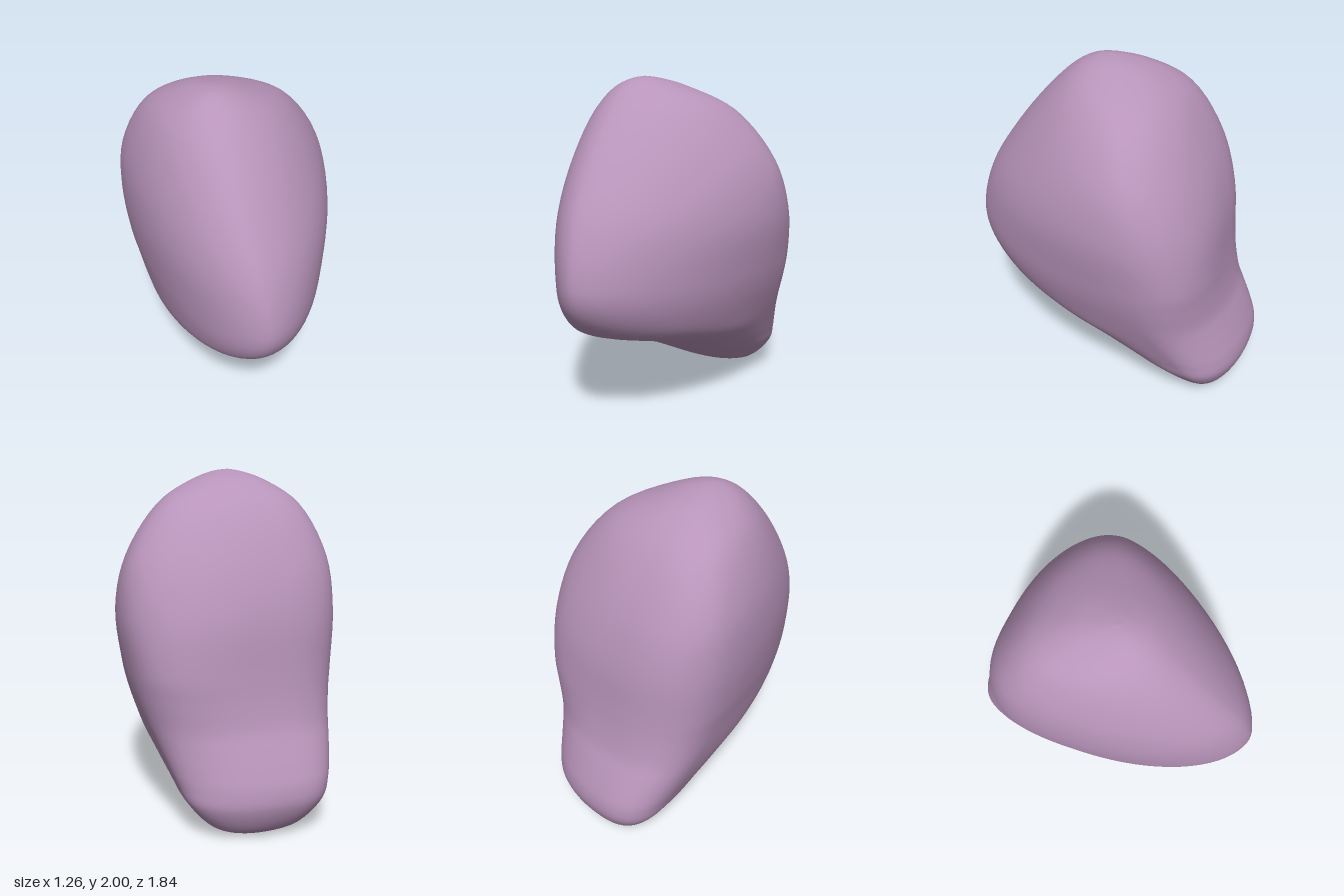
import * as THREE from 'three';
import { mergeVertices } from 'three/addons/utils/BufferGeometryUtils.js';

// Horizontal sections: height, left x, right x, front z, back z,
// ridge x, z of the widest place, fullness of the front (2 is elliptic)
const SECTIONS = [
  [0.005, -0.02, -0.01, -0.70, -0.71, -0.015, -0.705, 2],
  [0.015, -0.14, 0.11, -0.59, -0.77, -0.02, -0.70, 2],
  [0.06, -0.28, 0.25, -0.47, -0.84, -0.05, -0.68, 2.1],
  [0.20, -0.41, 0.38, -0.20, -0.915, -0.11, -0.65, 2.3],
  [0.30, -0.45, 0.42, -0.01, -0.915, -0.13, -0.59, 2.5],
  [0.40, -0.485, 0.455, 0.18, -0.88, -0.12, -0.52, 2.6],
  [0.50, -0.515, 0.49, 0.47, -0.835, -0.10, -0.45, 2.4],
  [0.60, -0.54, 0.525, 0.74, -0.79, -0.08, -0.39, 1.95],
  [0.75, -0.57, 0.57, 0.88, -0.755, -0.06, -0.32, 1.75],
  [0.90, -0.60, 0.60, 0.92, -0.735, -0.05, -0.27, 1.65],
  [1.20, -0.63, 0.63, 0.85, -0.70, -0.08, -0.23, 1.65],
  [1.50, -0.61, 0.57, 0.67, -0.60, -0.12, -0.21, 1.65],
  [1.80, -0.485, 0.35, 0.42, -0.41, -0.14, -0.12, 1.75],
  [1.94, -0.32, 0.09, 0.26, -0.20, -0.14, 0.02, 1.9],
  [1.99, -0.20, -0.06, 0.15, -0.02, -0.14, 0.06, 2],
  [2.00, -0.145, -0.135, 0.07, 0.06, -0.14, 0.065, 2],
];
const COLUMNS = 96;
const STEPS = 5;

// One closed ring of points, running from the front round by the +x side
function ring([y, xMin, xMax, front, back, mid, wide, fullness]) {
  // The back corner on +x draws in at the neck and near the top
  const corner = 2.1 + 0.8 * Math.exp(-(((y - 0.95) / 0.3) ** 2));
  return Array.from({ length: COLUMNS }, (_, k) => {
    const angle = (k / COLUMNS) * Math.PI * 2;
    const s = Math.sin(angle);
    const c = Math.cos(angle);
    const frontPower = s > 0 ? fullness : fullness + 0.1;
    const backPower = s > 0 ? corner : 2.7;
    const power = 2 / (c > 0 ? frontPower : backPower);
    const u = Math.abs(s) ** power;
    const v = Math.abs(c) ** power;
    return new THREE.Vector3(
      mid + u * ((s > 0 ? xMax : xMin) - mid),
      y,
      wide + v * ((c > 0 ? front : back) - wide),
    );
  });
}

// Smooth skin lofted through the rings
function bodyGeometry() {
  const rings = SECTIONS.map(ring);
  const rows = (SECTIONS.length - 1) * STEPS;
  const columns = Array.from({ length: COLUMNS }, (_, k) =>
    new THREE.CatmullRomCurve3(rings.map((r) => r[k]), false, 'centripetal'));
  const positions = [];
  const index = [];
  for (let r = 0; r <= rows; r++) {
    for (const column of columns) positions.push(...column.getPoint(r / rows).toArray());
  }
  for (let r = 0; r < rows; r++) {
    for (let k = 0; k < COLUMNS; k++) {
      const a = r * COLUMNS + k;
      const b = r * COLUMNS + (k + 1) % COLUMNS;
      index.push(a, b, b + COLUMNS, a, b + COLUMNS, a + COLUMNS);
    }
  }
  // Close the two tiny end rings
  const top = rows * COLUMNS;
  for (let k = 1; k < COLUMNS - 1; k++) {
    index.push(0, k + 1, k, top, top + k, top + k + 1);
  }
  let geometry = new THREE.BufferGeometry();
  geometry.setAttribute('position', new THREE.Float32BufferAttribute(positions, 3));
  geometry.setIndex(index);
  geometry = mergeVertices(geometry, 1e-5);
  geometry.computeVertexNormals();
  return geometry;
}

export function createModel() {
  const mauve = new THREE.MeshStandardMaterial({ color: 0xb894ba });
  mauve.name = 'mauve';
  const body = new THREE.Mesh(bodyGeometry(), mauve);
  body.name = 'body';
  const group = new THREE.Group();
  group.name = 'smoothStone';
  group.add(body);
  return group;
}
